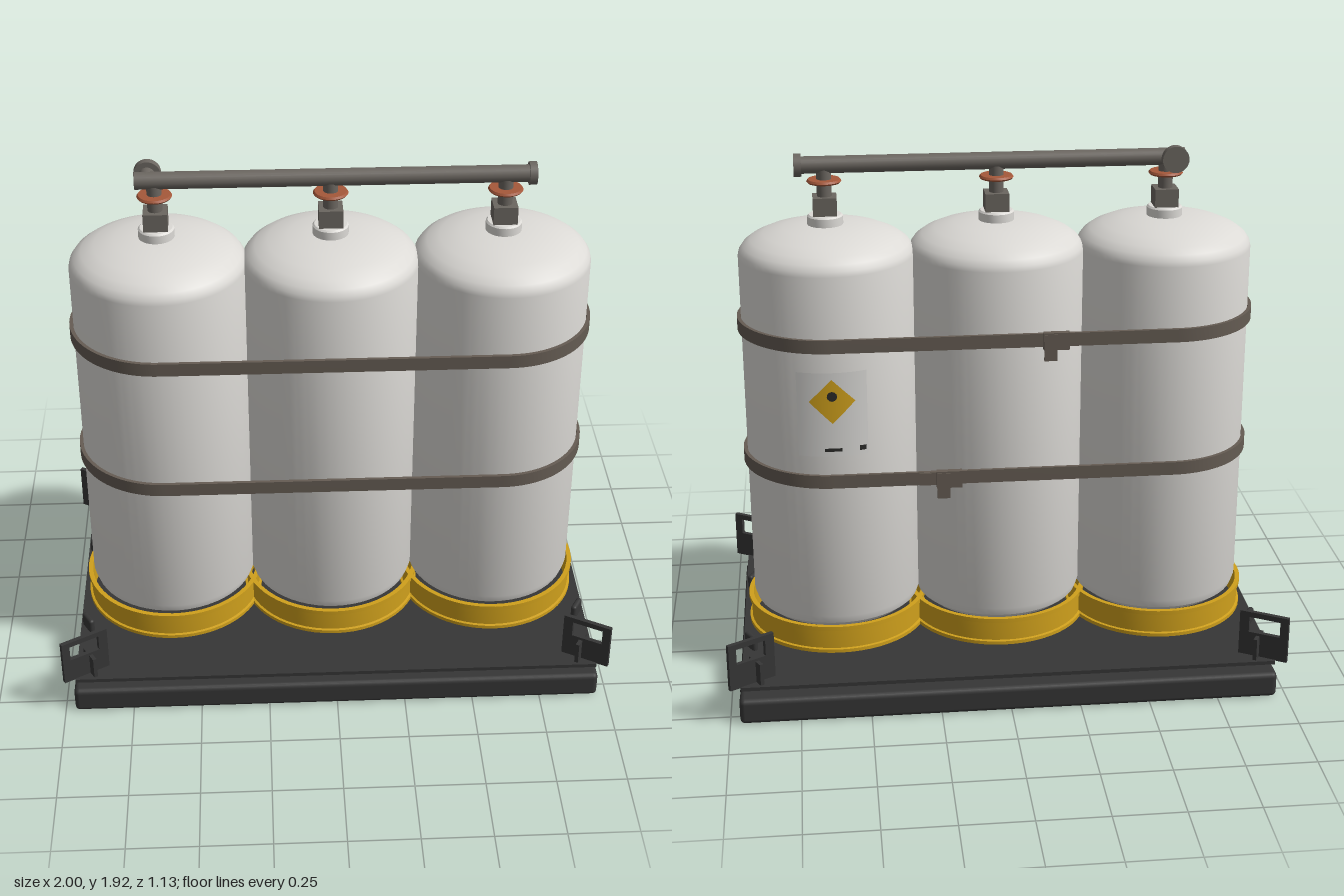
import * as THREE from 'three';
import { RoundedBoxGeometry } from 'three/addons/geometries/RoundedBoxGeometry.js';
import { toCreasedNormals } from 'three/addons/utils/BufferGeometryUtils.js';

const material = (name, color, side = THREE.FrontSide) => {
  const m = new THREE.MeshStandardMaterial({ color, side });
  m.name = name;
  return m;
};

export function createModel() {
  const model = new THREE.Group();
  model.name = 'cylinderRack';
  const white = material('tankWhite', 0xdcdad6);
  const panelWhite = material('panelWhite', 0xd6d5d2);
  const yellow = material('ringYellow', 0xcfa01c);
  const dark = material('frameDark', 0x363636);
  const strapBrown = material('strapBrown', 0x655c53);
  const grey = material('pipeGrey', 0x6b6660);
  const rust = material('wheelRust', 0xa5583a);
  const black = material('markBlack', 0x2a2a28);

  const add = (name, geometry, mat, x = 0, y = 0, z = 0, parent = model) => {
    const mesh = new THREE.Mesh(geometry, mat);
    mesh.name = name;
    mesh.position.set(x, y, z);
    parent.add(mesh);
    return mesh;
  };
  const box = (w, h, d) => new THREE.BoxGeometry(w, h, d);
  const cyl = (r, h, n = 24) => new THREE.CylinderGeometry(r, r, h, n);
  const lathe = (points, n = 56) => toCreasedNormals(
    new THREE.LatheGeometry(points.map(p => new THREE.Vector2(...p)), n), 0.5);

  // Base frame of rounded beams, and the deck above it
  for (const s of [-1, 1]) {
    add('longBeam', new RoundedBoxGeometry(1.93, 0.095, 0.088, 2, 0.018), dark, 0, 0.0475, s * 0.516);
    add('endBeam', new RoundedBoxGeometry(0.088, 0.095, 0.945, 2, 0.018), dark, s * 0.921, 0.0475, 0);
  }
  add('crossBeam', new RoundedBoxGeometry(0.088, 0.09, 0.945, 2, 0.018), dark, 0, 0.0475, 0);
  add('deck', box(1.91, 0.014, 1.1), dark, 0, 0.136, 0);

  // Corner brackets with a lifting window, and small deck stops
  const plate = new THREE.Shape([[-0.09, 0], [0.09, 0], [0.09, 0.175], [-0.09, 0.175]]
    .map(p => new THREE.Vector2(...p)));
  plate.holes.push(new THREE.Path([[-0.055, 0.095], [-0.055, 0.155], [0.06, 0.155], [0.06, 0.095]]
    .map(p => new THREE.Vector2(...p))));
  const bracketGeo = new THREE.ExtrudeGeometry(plate, { depth: 0.016, bevelEnabled: false });
  bracketGeo.translate(0, 0, -0.008);
  for (const sx of [-1, 1]) for (const sz of [-1, 1]) {
    const bracket = new THREE.Group();
    bracket.name = 'cornerBracket';
    bracket.position.set(sx * 0.918, 0.14, sz * 0.512);
    bracket.rotation.y = -sx * sz * 0.52 + (sx < 0 ? Math.PI : 0);
    add('bracketPlate', bracketGeo, dark, 0, 0, 0, bracket);
    add('bracketGusset', box(0.014, 0.085, 0.08), dark, -0.02, 0.0425, 0, bracket);
    model.add(bracket);
    const stop = add('deckStop', new RoundedBoxGeometry(0.022, 0.06, 0.07, 2, 0.01), dark,
      sx * 0.925, 0.165, sz * 0.252);
    stop.rotation.y = -sx * sz * 0.52;
  }

  // Three tanks, each with its ring, neck, valve and handwheel
  const tankGeo = lathe([[0, 0.2], [0.2, 0.205], [0.27, 0.225], [0.3, 0.25], [0.31, 0.28], [0.31, 1.56],
    [0.306, 1.578], [0.292, 1.598], [0.265, 1.618], [0.22, 1.638], [0.15, 1.656], [0.08, 1.664], [0, 1.666]]);
  const ringGeo = lathe([[0.312, 0.145], [0.333, 0.145], [0.333, 0.158], [0.324, 0.16], [0.324, 0.232],
    [0.333, 0.234], [0.333, 0.25], [0.316, 0.25], [0.312, 0.145]]);
  const neckGeo = lathe([[0.063, 1.65], [0.063, 1.694], [0.057, 1.7], [0, 1.7]], 32);
  const wheelGeo = lathe([[0, 1.812], [0.056, 1.812], [0.061, 1.818], [0.056, 1.825], [0, 1.825]], 32);
  for (const x of [-0.602, 0, 0.602]) {
    const unit = new THREE.Group();
    unit.name = 'gasTank';
    unit.position.x = x;
    add('tankBody', tankGeo, white, 0, 0, 0, unit);
    add('footRing', ringGeo, yellow, 0, 0, 0, unit);
    add('neckCollar', neckGeo, white, 0, 0, 0, unit);
    add('valveBlock', box(0.084, 0.065, 0.084), grey, 0, 1.732, 0, unit);
    add('valveStem', cyl(0.026, 0.1), grey, 0, 1.81, 0, unit);
    add('handwheel', wheelGeo, rust, 0, 0, 0, unit);
    model.add(unit);
  }

  // Manifold pipe with an end cap and a rear outlet
  add('manifoldPipe', cyl(0.03, 1.35), grey, 0.008, 1.875, 0).rotation.z = Math.PI / 2;
  add('pipeCap', cyl(0.04, 0.026), grey, 0.692, 1.875, 0).rotation.z = Math.PI / 2;
  add('outletPipe', cyl(0.028, 0.06), grey, -0.625, 1.877, -0.025).rotation.x = Math.PI / 2;
  add('outletCap', cyl(0.047, 0.028, 32), grey, -0.625, 1.877, -0.054).rotation.x = Math.PI / 2;

  // Two straps wrapped round all the tanks, with buckles at the back
  const stadium = (path, r) => {
    path.absarc(0.602, 0, r, -Math.PI / 2, Math.PI / 2, false);
    path.absarc(-0.602, 0, r, Math.PI / 2, Math.PI * 1.5, false);
    path.closePath();
    return path;
  };
  const loop = stadium(new THREE.Shape(), 0.324);
  loop.holes.push(stadium(new THREE.Path(), 0.311));
  const strapGeo = toCreasedNormals(
    new THREE.ExtrudeGeometry(loop, { depth: 0.048, bevelEnabled: false, curveSegments: 28 }), 0.5);
  strapGeo.rotateX(-Math.PI / 2);
  for (const [y, x] of [[0.792, 0.2], [1.293, -0.175]]) {
    add('strap', strapGeo, strapBrown, 0, y, 0);
    add('buckle', box(0.09, 0.062, 0.022), strapBrown, x, y + 0.024, -0.331);
    add('buckleLever', box(0.045, 0.095, 0.012), strapBrown, x + 0.02, y + 0.002, -0.339);
    add('strapTail', box(0.06, 0.046, 0.008), strapBrown, x + (x > 0 ? 0.075 : -0.015), y + 0.024, -0.327);
  }

  // Warning panel curved onto the back of the left tank
  const bend = (geometry, r) => {
    const p = geometry.attributes.position;
    for (let i = 0; i < p.count; i++) {
      const a = p.getX(i) / r;
      p.setXYZ(i, -Math.sin(a) * r, p.getY(i), -Math.cos(a) * r);
    }
    geometry.computeVertexNormals();
    return geometry;
  };
  const sticker = (name, geometry, mat, r) => add(name, bend(geometry, r), mat, 0.602, 0, 0);
  sticker('warningPanel', new THREE.PlaneGeometry(0.25, 0.31, 16, 1).translate(0, 1.065, 0), panelWhite, 0.314);
  sticker('warningDiamond', new THREE.PlaneGeometry(0.115, 0.115, 8, 8)
    .rotateZ(Math.PI / 4).translate(0, 1.115, 0), yellow, 0.317);
  sticker('warningSymbol', new THREE.CircleGeometry(0.018, 12).translate(0, 1.135, 0), black, 0.319);
  sticker('panelMark', new THREE.PlaneGeometry(0.06, 0.012, 4, 1).translate(0, 0.935, 0), black, 0.316);
  sticker('panelMark', new THREE.PlaneGeometry(0.025, 0.018, 2, 1).translate(0.105, 0.935, 0), black, 0.316);

  return model;
}
